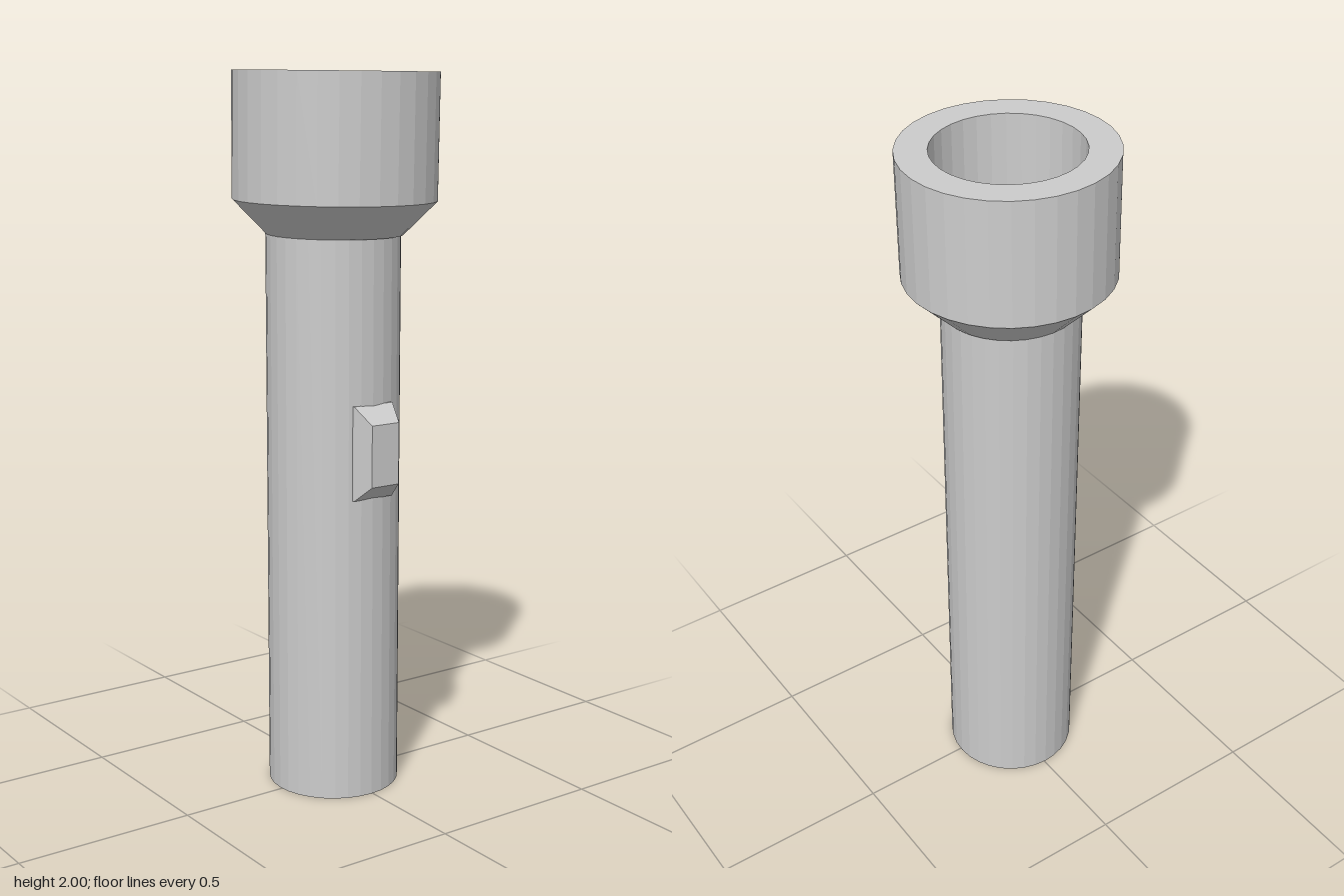
import * as THREE from 'three';

const SIDES = 32;
const grey = new THREE.MeshStandardMaterial({ color: 0xcccccc, flatShading: true });
grey.name = 'light grey';

// Turned solid from a closed [radius, height] profile
function turned(name, profile) {
  const points = profile.map(([r, y]) => new THREE.Vector2(r, y));
  const mesh = new THREE.Mesh(new THREE.LatheGeometry(points, SIDES), grey);
  mesh.name = name;
  return mesh;
}

export function createModel() {
  const torch = new THREE.Group();
  torch.name = 'flashlight';

  // Plain round handle
  const handle = turned('handle', [[0, 0], [0.185, 0], [0.185, 1.59], [0, 1.59]]);
  handle.position.set(-0.004, 0, -0.008);
  torch.add(handle);

  // Flared head with a straight-sided recess, tipped very slightly forward
  const head = turned('head', [
    [0, 0], [0.188, 0], [0.28, 0.093], [0.28, 0.433],
    [0.196, 0.433], [0.196, 0.1], [0, 0.1],
  ]);
  head.position.set(-0.001, 1.562, -0.006);
  head.rotation.x = 0.018;
  torch.add(head);

  // Switch: a box whose front face is bevelled inwards
  const base = new THREE.BoxGeometry(0.128, 0.26, 0.03);
  base.translate(0, 0, 0.158);
  const cap = new THREE.BoxGeometry(0.128, 0.26, 0.055);
  const p = cap.attributes.position;
  for (let i = 0; i < p.count; i++) {
    if (p.getZ(i) > 0) p.setXY(i, p.getX(i) * 0.7, p.getY(i) * 0.65);
  }
  cap.translate(0, 0, 0.2005);

  const button = new THREE.Group();
  button.name = 'switch';
  [['switchBase', base], ['switchCap', cap]].forEach(([name, geometry]) => {
    const mesh = new THREE.Mesh(geometry, grey);
    mesh.name = name;
    button.add(mesh);
  });
  button.position.y = 0.985;
  torch.add(button);

  return torch;
}
